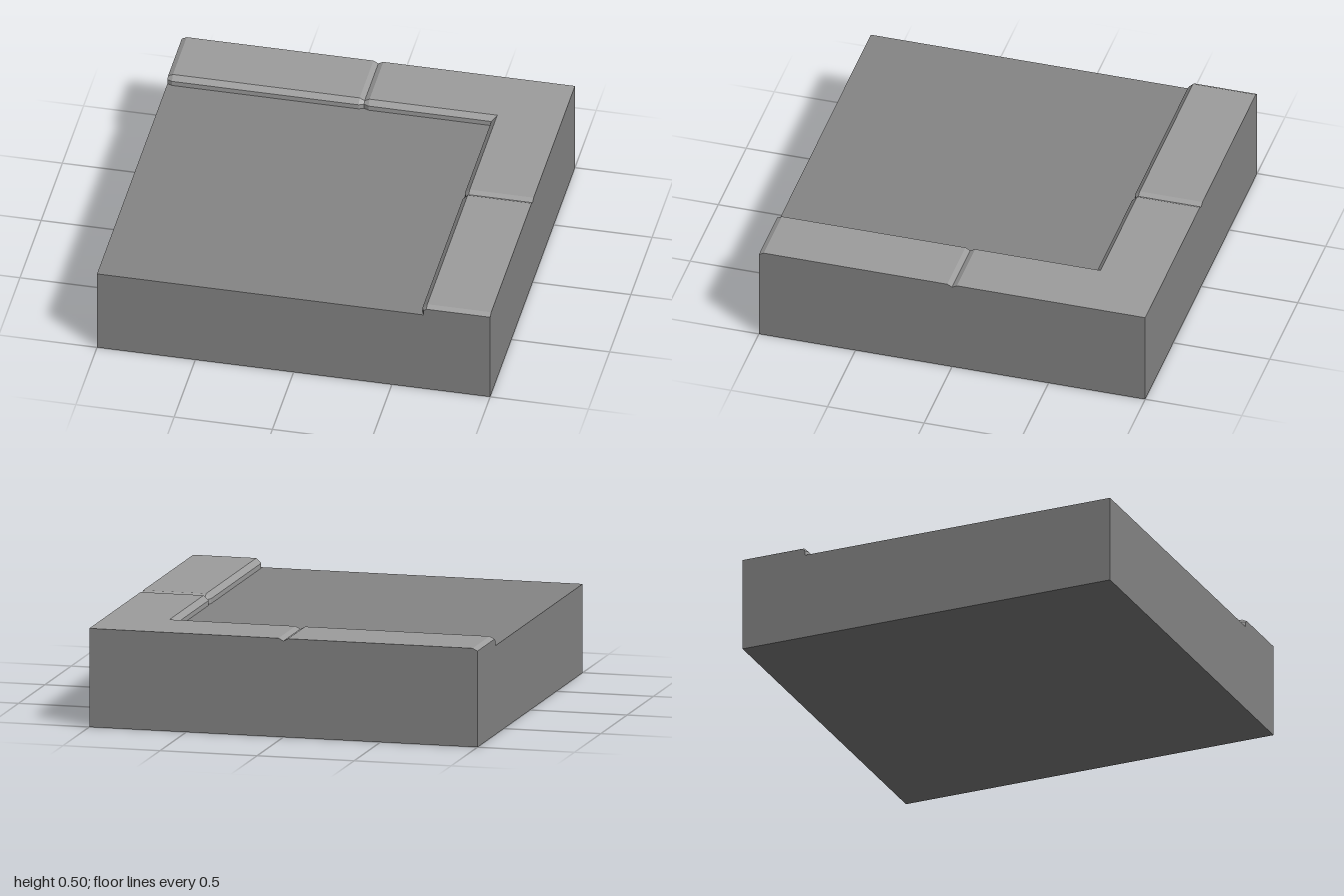
import * as THREE from 'three';

const ROAD_Y = 0.45, TOP_Y = 0.5;      // road surface and kerb top
const FACE = 0.65, BEVEL = 0.025;      // kerb inner face and its bevelled lip
const DIP = 0.013, INSET = 0.011;      // joint depth on the top and on the face
const JOINT = 0.025;                   // half width of a joint

// Kerb cross-section as [distance from tile centre, height], outer to inner
function profile(joint) {
  const top = TOP_Y - (joint ? DIP : 0);
  const face = FACE + (joint ? INSET : 0);
  return [[1, ROAD_Y], [1, top], [FACE + BEVEL, top], [face, TOP_Y - BEVEL], [face, ROAD_Y]];
}

// Cross-sections along the back run, round the mitred corner, then along the left run
function kerbSections() {
  const run = [[-1, true], [-1 + JOINT, false], [-JOINT, false], [0, true], [JOINT, false]];
  const back = run.map(([s, j]) => profile(j).map(([d, y]) => [s, y, -d]));
  const corner = profile(false).map(([d, y]) => [d, y, -d]);
  const left = run.map(([s, j]) => profile(j).map(([d, y]) => [d, y, -s])).reverse();
  return [...back, corner, ...left];
}

// Skin profile points from..to over all sections
function skin(sections, from, to) {
  const pos = [];
  for (let i = 0; i < sections.length - 1; i++) {
    for (let j = from; j < to; j++) {
      const a = sections[i][j], b = sections[i][j + 1];
      const c = sections[i + 1][j + 1], d = sections[i + 1][j];
      pos.push(...a, ...b, ...c, ...a, ...c, ...d);
    }
  }
  return pos;
}

// Flat polygon closing one end of the kerb
function cap(points) {
  const pos = [];
  for (let i = 1; i < points.length - 1; i++) pos.push(...points[0], ...points[i], ...points[i + 1]);
  return pos;
}

function toMesh(name, pos, material) {
  const geometry = new THREE.BufferGeometry();
  geometry.setAttribute('position', new THREE.Float32BufferAttribute(pos, 3));
  geometry.computeVertexNormals();
  const mesh = new THREE.Mesh(geometry, material);
  mesh.name = name;
  return mesh;
}

export function createModel() {
  const group = new THREE.Group();
  group.name = 'roadCornerTile';
  const stone = new THREE.MeshStandardMaterial({ color: 0x9e9e9e, flatShading: true });
  const ground = new THREE.MeshStandardMaterial({ color: 0x868686, flatShading: true });

  // Solid block carrying the road surface
  const block = new THREE.Mesh(new THREE.BoxGeometry(2, ROAD_Y, 2), ground);
  block.position.y = ROAD_Y / 2;
  block.name = 'roadBlock';
  group.add(block);

  // Raised L-shaped kerb: paved top, bevelled lip and inner face
  const sections = kerbSections();
  group.add(toMesh('kerb', skin(sections, 1, 4), stone));

  // Outer walls and ends of the kerb, flush with the block sides
  const ends = [...cap([...sections[0]].reverse()), ...cap(sections[sections.length - 1])];
  group.add(toMesh('kerbSides', [...skin(sections, 0, 1), ...ends], ground));

  return group;
}
